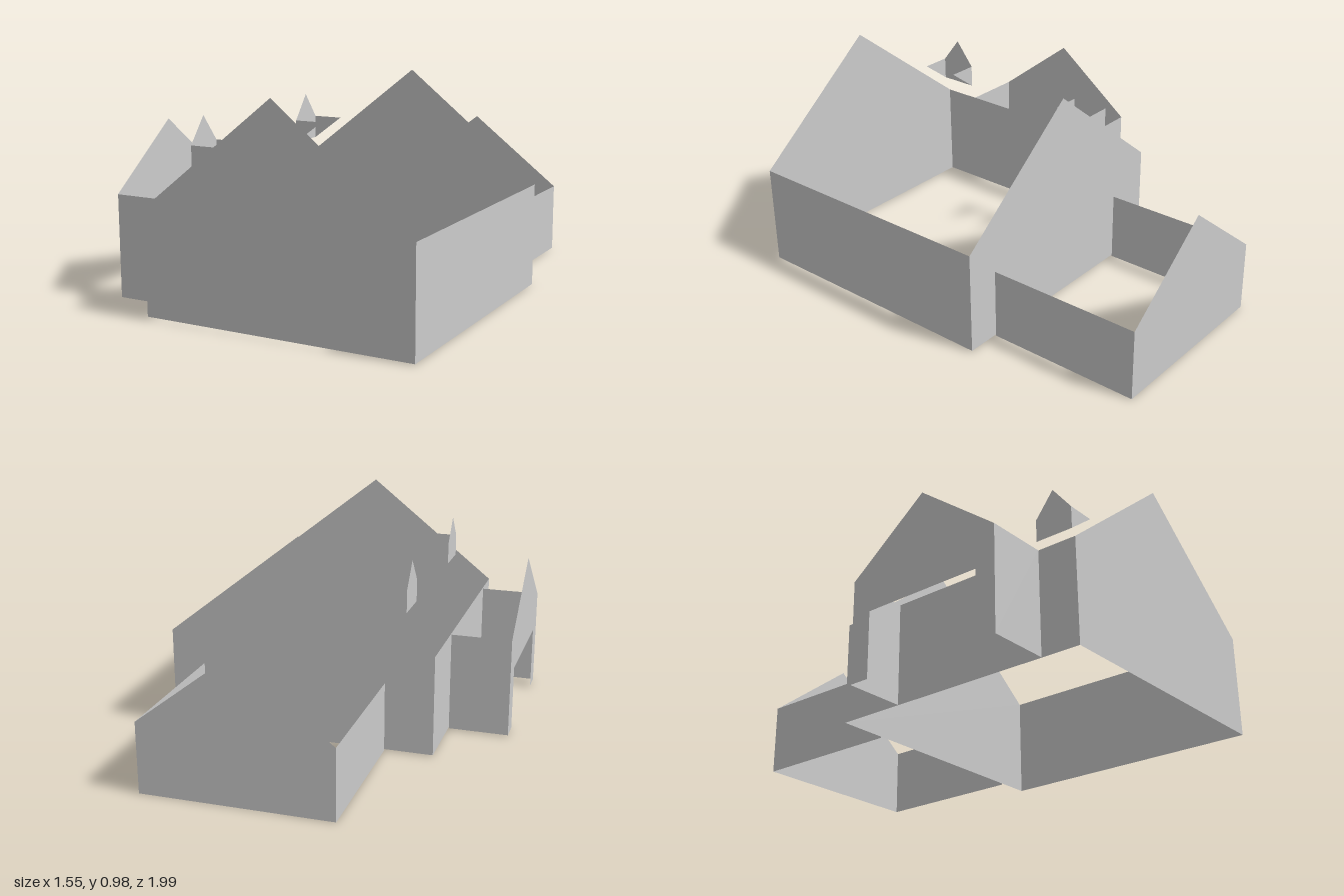
import * as THREE from 'three';

const material = new THREE.MeshStandardMaterial({
  color: 0xcccccc, flatShading: true, side: THREE.DoubleSide,
});

// Flat sheet from an outline of [u, y] points
function sheet(name, points) {
  const shape = new THREE.Shape(points.map(([u, y]) => new THREE.Vector2(u, y)));
  const mesh = new THREE.Mesh(new THREE.ShapeGeometry(shape), material);
  mesh.name = name;
  return mesh;
}

// Sheet across x, standing at depth z
function acrossX(name, z, points) {
  const mesh = sheet(name, points);
  mesh.position.z = z;
  return mesh;
}

// Sheet along z (u becomes z), standing at x
function alongZ(name, x, points) {
  const mesh = sheet(name, points);
  mesh.geometry.rotateY(-Math.PI / 2);
  mesh.position.x = x;
  return mesh;
}

const rect = (a, b, y0, y1) => [[a, y0], [b, y0], [b, y1], [a, y1]];
const gable = (a, b, y0, eave, peak) =>
  [[a, y0], [b, y0], [b, eave], [(a + b) / 2, peak], [a, eave]];

function group(name, ...parts) {
  const g = new THREE.Group();
  g.name = name;
  g.add(...parts);
  return g;
}

export function createModel() {
  const model = new THREE.Group();
  model.name = 'house';

  // Main hall: gables front and back, plain side walls
  const hall = gable(-0.49, 0.775, 0.005, 0.48, 0.98);
  model.add(group('mainHall',
    acrossX('frontGable', 1, hall),
    acrossX('backGable', -0.26, hall),
    alongZ('rightSideWall', 0.775, rect(-0.26, 1, 0.005, 0.48)),
    alongZ('leftSideWall', -0.49, rect(-0.26, 1, 0.005, 0.48))));

  // Side wing: gable with a wide doorway between two posts
  const z0 = 0.06, z1 = 0.82, post = 0.095, door = 0.31;
  model.add(group('sideWing',
    alongZ('doorwayGable', -0.777, [
      [z0, 0.005], [z0 + post, 0.005], [z0 + post, door], [z1 - post, door],
      [z1 - post, 0.005], [z1, 0.005], [z1, 0.478], [(z0 + z1) / 2, 0.77], [z0, 0.478],
    ]),
    acrossX('wingBackWall', z0, rect(-0.777, -0.493, 0.005, 0.478)),
    acrossX('wingFrontWall', z1, rect(-0.777, -0.493, 0.005, 0.478))));

  // Rear annex
  const annex = group('rearAnnex',
    acrossX('annexGable', -0.988, gable(-0.262, 0.617, 0, 0.33, 0.67)),
    alongZ('annexSideWall', -0.262, rect(-0.988, -0.262, 0, 0.33)),
    alongZ('annexSideWall', 0.617, rect(-0.988, -0.262, 0, 0.33)));
  // Narrow windows set just proud of the walls
  for (const x of [0.45, 0.265, 0.06, -0.13])
    annex.add(acrossX('gableWindow', -0.99, rect(x - 0.018, x + 0.018, 0.12, 0.25)));
  for (const z of [-0.73, -0.54])
    annex.add(alongZ('sideWindow', -0.264, rect(z - 0.018, z + 0.018, 0.09, 0.25)));
  model.add(annex);

  // Dormers: pentagon face with triangular cheeks
  for (const z of [0.785, -0.06]) {
    const cheek = [[-0.33, 0.635], [-0.19, 0.74], [-0.33, 0.74]];
    model.add(group('dormer',
      alongZ('dormerFace', -0.33, gable(z - 0.092, z + 0.092, 0.635, 0.74, 0.857)),
      acrossX('dormerCheek', z - 0.092, cheek),
      acrossX('dormerCheek', z + 0.092, cheek)));
  }
  return model;
}
